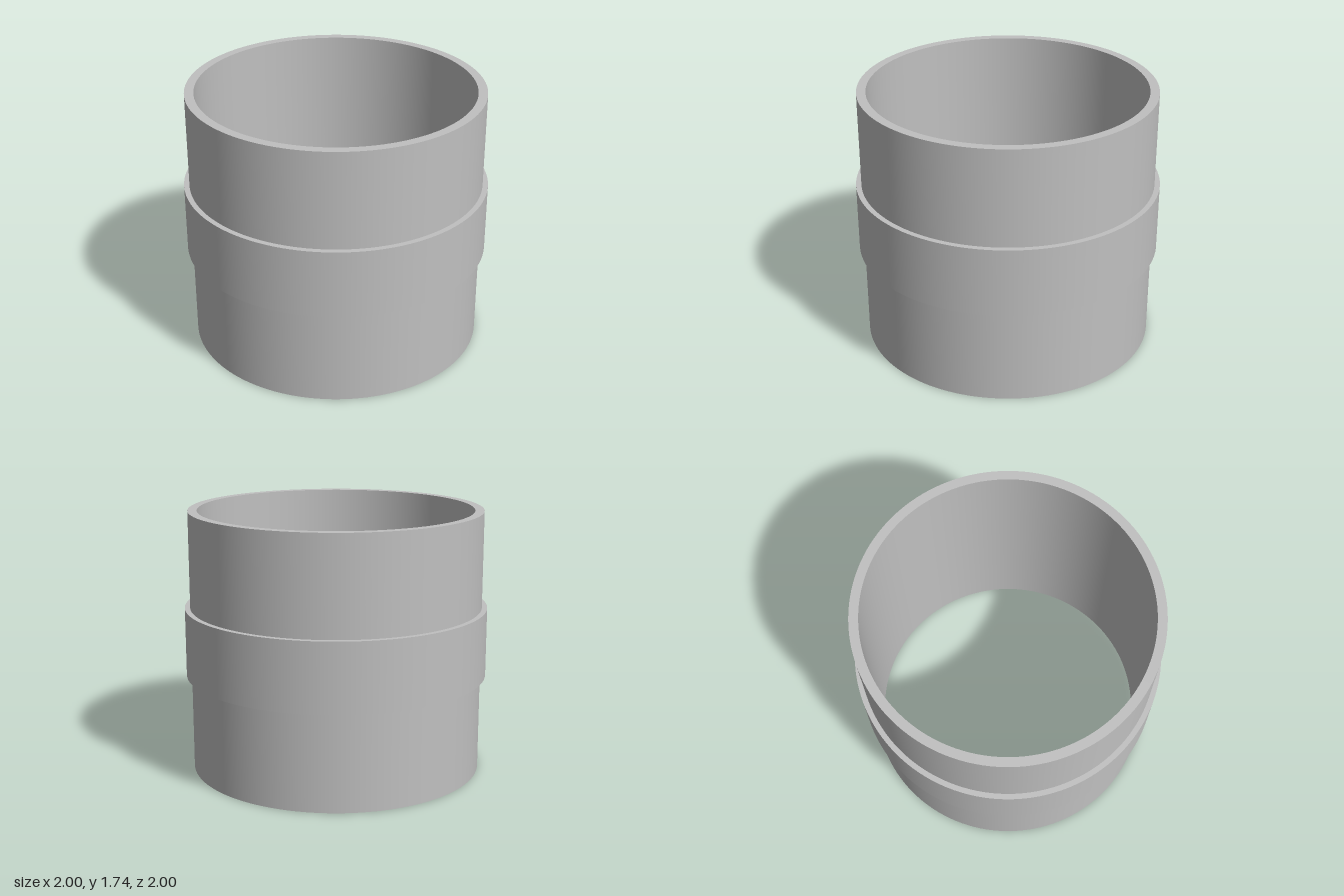
import * as THREE from 'three';
import { mergeGeometries } from 'three/addons/utils/BufferGeometryUtils.js';

const SEGMENTS = 128;
const HEIGHT = 1.735, BORE = 0.905, SLEEVE = 0.965, COLLAR = 1;
const COLLAR_BOTTOM = 0.64, COLLAR_TOP = 1.095;

// Revolves each profile edge separately: smooth around, sharp between edges.
// Profiles run counter-clockwise in (radius, height) so faces point outward.
function revolve(profile) {
  const rings = [];
  for (let i = 0; i < profile.length - 1; i++) {
    const edge = [profile[i], profile[i + 1]].map(([r, y]) => new THREE.Vector2(r, y));
    rings.push(new THREE.LatheGeometry(edge, SEGMENTS));
  }
  return mergeGeometries(rings);
}

export function createModel() {
  const group = new THREE.Group();
  group.name = 'pipeCoupling';
  const grey = new THREE.MeshStandardMaterial({ color: 0xc0c0c0 });
  grey.name = 'grey';

  const parts = {
    // Bottom rim and outer wall below the collar
    lowerSleeve: [[BORE, 0], [SLEEVE, 0], [SLEEVE, COLLAR_BOTTOM]],
    // Raised band with its two ledges
    collar: [[SLEEVE, COLLAR_BOTTOM], [COLLAR, COLLAR_BOTTOM], [COLLAR, COLLAR_TOP], [SLEEVE, COLLAR_TOP]],
    // Outer wall above the collar and top rim
    upperSleeve: [[SLEEVE, COLLAR_TOP], [SLEEVE, HEIGHT], [BORE, HEIGHT]],
    // Straight inner wall, open at both ends
    bore: [[BORE, HEIGHT], [BORE, 0]],
  };
  for (const [name, profile] of Object.entries(parts)) {
    const mesh = new THREE.Mesh(revolve(profile), grey);
    mesh.name = name;
    group.add(mesh);
  }
  return group;
}
